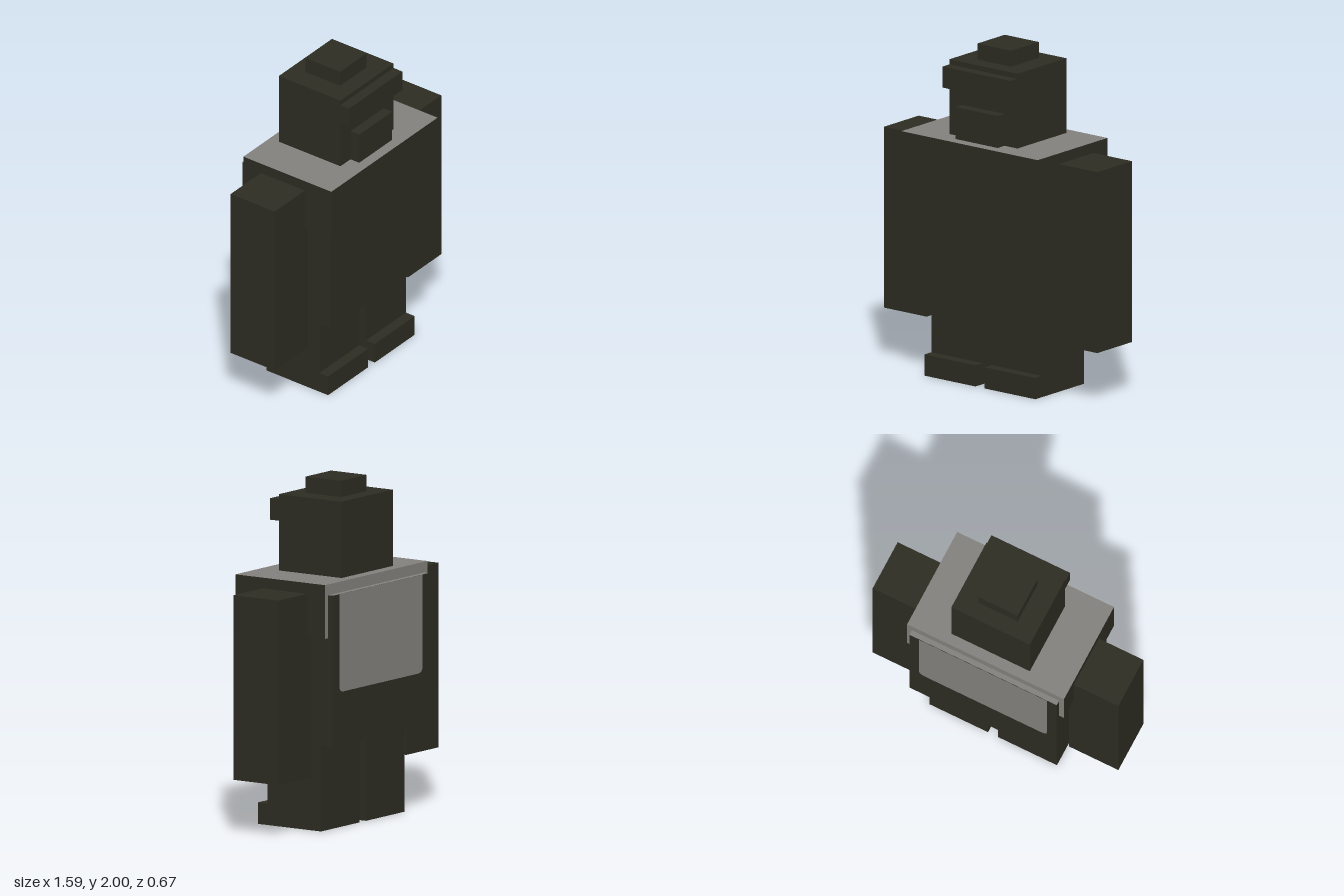
import * as THREE from 'three';

const dark = new THREE.MeshStandardMaterial({ color: 0x2e2d23 });
dark.name = 'dark olive';
const grey = new THREE.MeshStandardMaterial({ color: 0x85837e });
grey.name = 'warm grey';

// Box from its min and max limits on each axis
function block(name, [x0, x1], [y0, y1], [z0, z1], material = dark) {
  const mesh = new THREE.Mesh(new THREE.BoxGeometry(x1 - x0, y1 - y0, z1 - z0), material);
  mesh.position.set((x0 + x1) / 2, (y0 + y1) / 2, (z0 + z1) / 2);
  mesh.name = name;
  return mesh;
}

// Panel outline: square top, rounded lower corners
function panelShape(w, top, bottom, r) {
  const s = new THREE.Shape();
  s.moveTo(-w, top);
  s.lineTo(-w, bottom + r);
  s.quadraticCurveTo(-w, bottom, -w + r, bottom);
  s.lineTo(w - r, bottom);
  s.quadraticCurveTo(w, bottom, w, bottom + r);
  s.lineTo(w, top);
  s.closePath();
  return s;
}

export function createModel() {
  const model = new THREE.Group();
  model.name = 'blockFigure';

  // Head with brow, jaw and top knob
  const head = new THREE.Group();
  head.name = 'head';
  head.add(
    block('skull', [-0.253, 0.253], [1.46, 1.905], [-0.237, 0.207]),
    block('brow', [-0.253, 0.253], [1.75, 1.875], [0.207, 0.27]),
    block('jaw', [-0.157, 0.157], [1.46, 1.65], [0.207, 0.27]),
    block('topKnob', [-0.126, 0.126], [1.905, 2], [-0.142, 0.108]),
  );
  model.add(head);

  // Body: grey top and back on the shoulders, grey ledge on the torso
  model.add(
    block('shoulders', [-0.506, 0.506], [1.146, 1.46], [-0.301, 0.333],
      [dark, dark, grey, dark, dark, grey]),
    block('torso', [-0.475, 0.475], [0.51, 1.397], [-0.332, 0.302],
      [dark, dark, grey, dark, dark, dark]),
  );

  // Painted panel on the back
  const panel = new THREE.Mesh(new THREE.ShapeGeometry(panelShape(0.412, 1.397, 0.825, 0.04), 5), grey);
  panel.name = 'backPanel';
  panel.rotation.y = Math.PI;
  panel.position.z = -0.334;
  model.add(panel);

  // Mirrored limbs
  for (const [side, s] of [['left', 1], ['right', -1]]) {
    const span = (a, b) => (s > 0 ? [a, b] : [-b, -a]);
    model.add(
      block(side + 'Arm', span(0.475, 0.793), [0.32, 1.397], [-0.175, 0.142]),
      block(side + 'Leg', span(0.033, 0.412), [0, 0.51], [-0.205, 0.175]),
      block(side + 'Foot', span(0.033, 0.412), [0, 0.126], [0.175, 0.239]),
    );
  }
  return model;
}
